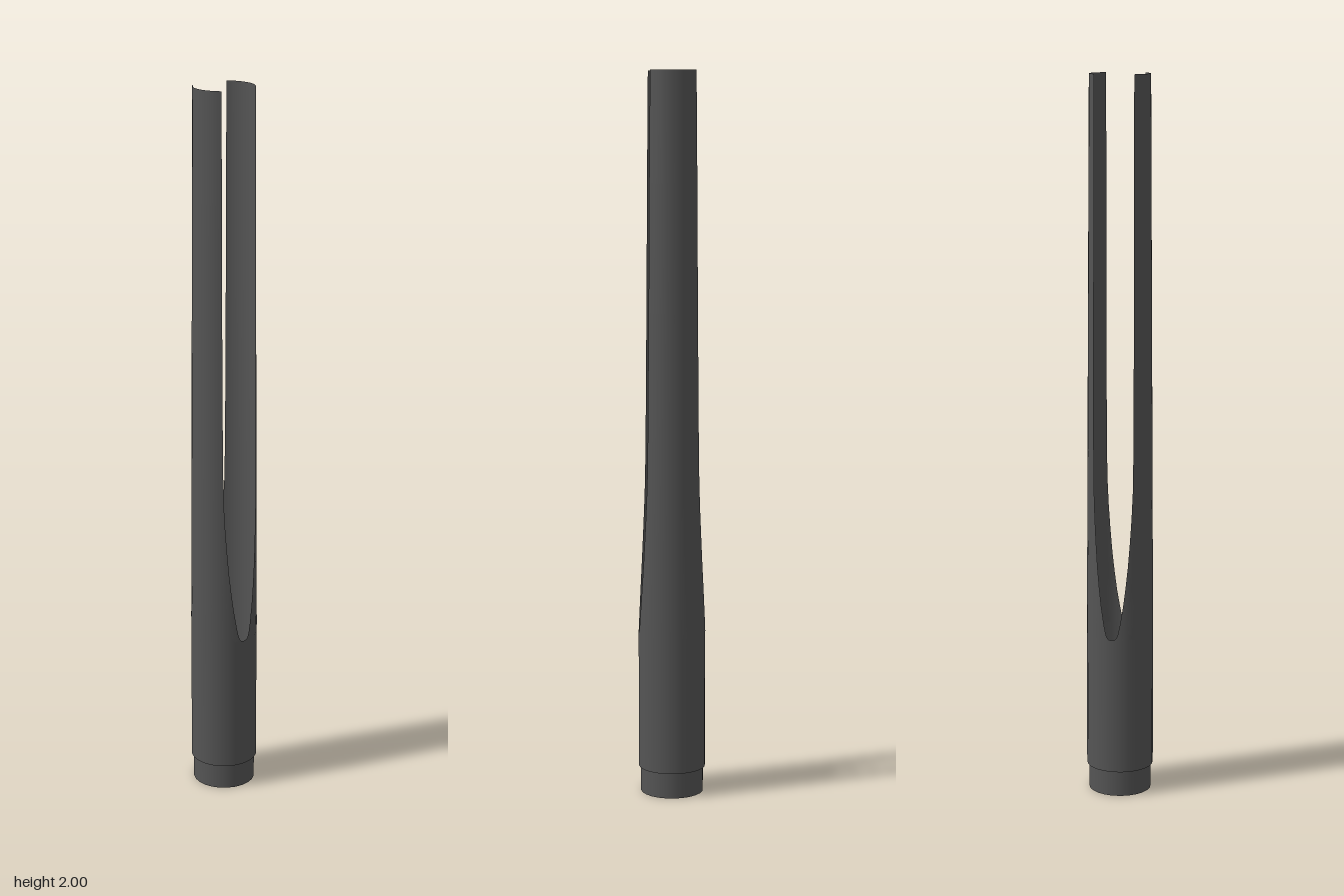
import * as THREE from 'three';

const SEGS = 24;
const SLOT_Y = 0.455;
const BODY_R = 0.093, NECK_R = 0.087, TOP_R = 0.083;

const material = new THREE.MeshStandardMaterial({ color: 0x555555, side: THREE.DoubleSide });

function add(group, name, geometry, y = 0) {
  const mesh = new THREE.Mesh(geometry, material);
  mesh.name = name;
  mesh.position.y = y;
  group.add(mesh);
  return mesh;
}

// Open-ended sleeve from y0 to y1
function sleeve(group, name, r, y0, y1) {
  add(group, name, new THREE.CylinderGeometry(r, r, y1 - y0, SEGS, 1, true), (y0 + y1) / 2);
}

// Curved half-shell on the +z side; its edges stay [w] away from the x axis at each height
function prongGeometry() {
  const slot = [ // height, half width of the slot
    [SLOT_Y, 0], [0.457, 0.009], [0.463, 0.014], [0.475, 0.018], [0.5, 0.023], [0.55, 0.031],
    [0.6, 0.037], [0.66, 0.043], [0.73, 0.048], [0.8, 0.052], [0.88, 0.055], [1.0, 0.056],
    [1.35, 0.056], [1.7, 0.055], [2.0, 0.055],
  ];
  const n = SEGS / 2, pos = [], nor = [], index = [];
  slot.forEach(([y, w], i) => {
    const r = THREE.MathUtils.mapLinear(y, SLOT_Y, 2, BODY_R, TOP_R);
    const a0 = Math.asin(w / r);
    for (let j = 0; j <= n; j++) {
      const a = a0 + (Math.PI - 2 * a0) * j / n;
      pos.push(Math.cos(a) * r, y, Math.sin(a) * r);
      nor.push(Math.cos(a), 0, Math.sin(a));
      if (i && j) {
        const d = i * (n + 1) + j, c = d - 1, b = d - n - 1, e = b - 1;
        index.push(e, b, d, e, d, c);
      }
    }
  });
  // angle runs from +x towards -x, so flip the winding to face outwards
  for (let k = 0; k < index.length; k += 3) [index[k + 1], index[k + 2]] = [index[k + 2], index[k + 1]];
  const g = new THREE.BufferGeometry();
  g.setAttribute('position', new THREE.Float32BufferAttribute(pos, 3));
  g.setAttribute('normal', new THREE.Float32BufferAttribute(nor, 3));
  g.setIndex(index);
  return g;
}

export function createModel() {
  const group = new THREE.Group();
  group.name = 'slottedTube';

  // Narrow collar, step and main sleeve
  sleeve(group, 'collar', NECK_R, 0, 0.072);
  const step = new THREE.RingGeometry(NECK_R, BODY_R, SEGS).rotateX(Math.PI / 2);
  add(group, 'step', step, 0.072);
  sleeve(group, 'body', BODY_R, 0.072, SLOT_Y);

  // Two tapering prongs, front and back, with the slots between them
  const prong = prongGeometry();
  add(group, 'frontProng', prong);
  add(group, 'backProng', prong).rotation.y = Math.PI;

  return group;
}
